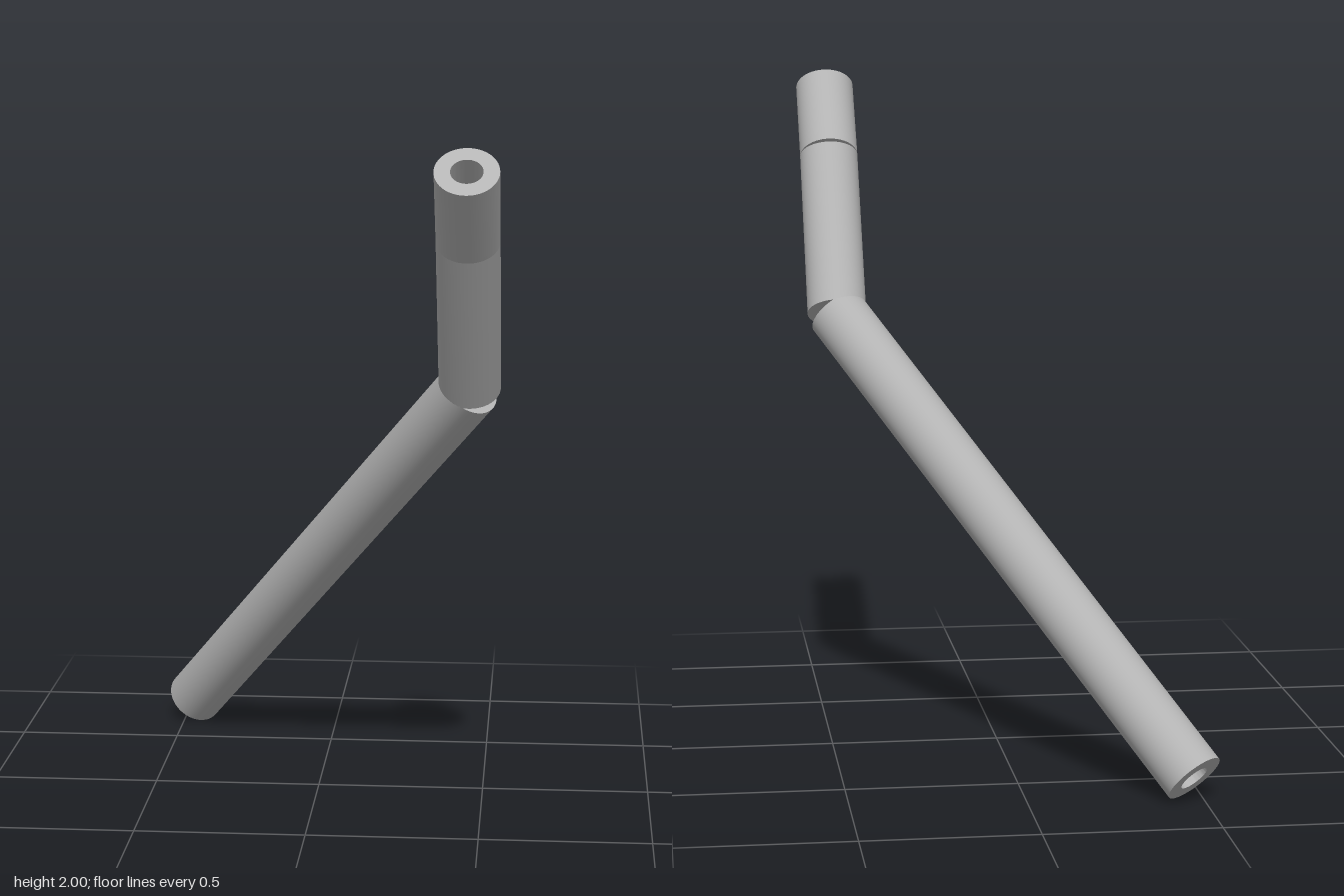
import * as THREE from 'three';
import { toCreasedNormals } from 'three/addons/utils/BufferGeometryUtils.js';

const OUTER = 0.0895, INNER = 0.045;

export function createModel() {
  const model = new THREE.Group();
  model.name = 'bentPipe';
  const greyMetal = new THREE.MeshStandardMaterial({ color: 0xb4b4b4 });
  greyMetal.name = 'grey metal';

  // Straight hollow tube with square-cut ends, running from a to b
  function addTube(name, a, b) {
    const axis = b.clone().sub(a);
    const length = axis.length();
    const profile = [[OUTER, 0], [OUTER, length], [INNER, length], [INNER, 0], [OUTER, 0]]
      .map(([r, y]) => new THREE.Vector2(r, y));
    const geometry = toCreasedNormals(new THREE.LatheGeometry(profile, 48), Math.PI / 6);
    const tube = new THREE.Mesh(geometry, greyMetal);
    tube.name = name;
    tube.position.copy(a);
    tube.quaternion.setFromUnitVectors(new THREE.Vector3(0, 1, 0), axis.normalize());
    model.add(tube);
  }

  // Centre line: the tubes meet at shared centres, leaving a notch outside each bend
  const foot = new THREE.Vector3(-0.469, 0.067, -0.74);
  const elbow = new THREE.Vector3(0.457, 1.28, 0.27);
  const neck = new THREE.Vector3(0.457, 1.737, 0.572);
  const mouth = new THREE.Vector3(0.457, 1.943, 0.746);

  addTube('lowerTube', foot, elbow);
  addTube('middleTube', elbow, neck);
  addTube('upperTube', neck, mouth);
  return model;
}
